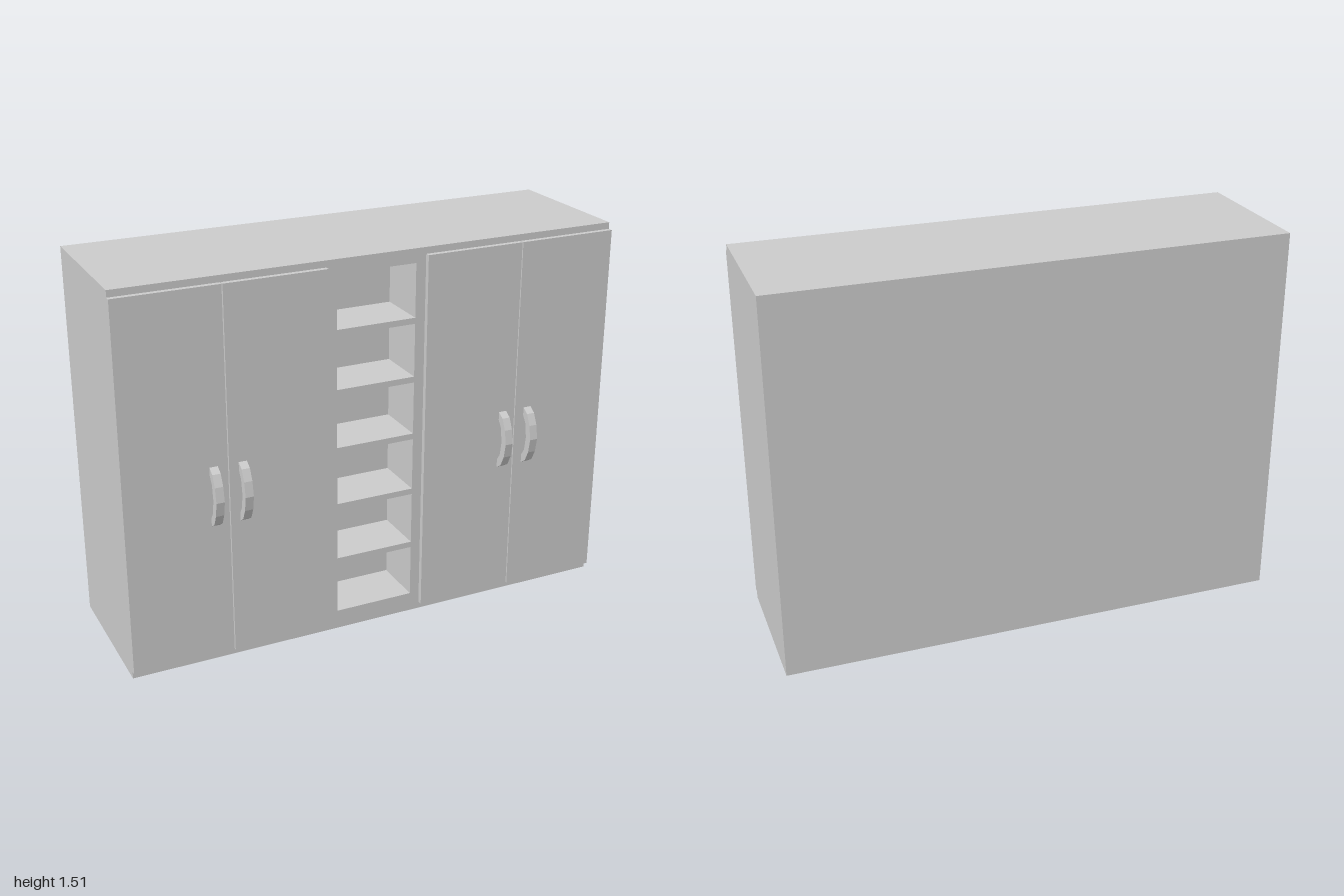
import * as THREE from 'three';

const material = new THREE.MeshStandardMaterial({ color: 0xcccccc, flatShading: true });
const HEIGHT = 1.51, BACK = -0.33, FRONT = 0.25, DOOR_FRONT = 0.27;

function addMesh(parent, name, geometry) {
  const mesh = new THREE.Mesh(geometry, material);
  mesh.name = name;
  parent.add(mesh);
  return mesh;
}

// Box given by its two opposite corners
function addBox(parent, name, [x0, y0, z0], [x1, y1, z1]) {
  const mesh = addMesh(parent, name, new THREE.BoxGeometry(x1 - x0, y1 - y0, z1 - z0));
  mesh.position.set((x0 + x1) / 2, (y0 + y1) / 2, (z0 + z1) / 2);
}

// Faceted bow handle: side profile (z, y about the middle) extruded across x
function handleGeometry() {
  const width = 0.032;
  const profile = [
    [0.268, -0.119], [0.298, -0.1], [0.319, -0.057], [0.33, 0], [0.319, 0.057], [0.298, 0.1], [0.268, 0.119],
    [0.268, 0.088], [0.289, 0.057], [0.298, 0], [0.289, -0.057], [0.268, -0.088],
  ].map(([z, y]) => new THREE.Vector2(z, y));
  return new THREE.ExtrudeGeometry(new THREE.Shape(profile), { depth: width, bevelEnabled: false })
    .translate(0, 0, -width / 2)
    .rotateY(-Math.PI / 2);
}

// Central column with six open compartments
function createShelfColumn() {
  const column = new THREE.Group();
  column.name = 'shelfColumn';
  const half = 0.2, openHalf = 0.16, depth = 0.21;
  const rect = (Type, x, y0, y1) => new Type([[-x, y0], [x, y0], [x, y1], [-x, y1]]
    .map(([px, py]) => new THREE.Vector2(px, py)));
  const face = rect(THREE.Shape, half, 0, HEIGHT);
  for (let i = 0; i < 6; i++) {
    const y = 0.077 + i * 0.2335;
    face.holes.push(rect(THREE.Path, openHalf, y, y + 0.21));
  }
  const frame = addMesh(column, 'shelfFrame',
    new THREE.ExtrudeGeometry(face, { depth, bevelEnabled: false }));
  frame.position.z = FRONT - depth;
  addBox(column, 'shelfBack', [-half, 0, BACK], [half, HEIGHT, FRONT - depth]);
  return column;
}

// Two-door cabinet on one side (s = 1 left, s = -1 right)
function createCabinet(s, handle) {
  const cabinet = new THREE.Group();
  cabinet.name = s > 0 ? 'leftCabinet' : 'rightCabinet';
  const span = (a, b) => (s > 0 ? [a, b] : [-b, -a]);
  const [c0, c1] = span(0.2, 1);
  addBox(cabinet, 'cabinetBody', [c0, 0, BACK], [c1, HEIGHT, FRONT]);
  for (const [name, a, b, hx] of [['inner', 0.2, 0.598, 0.545], ['outer', 0.602, 1, 0.657]]) {
    const [d0, d1] = span(a, b);
    addBox(cabinet, name + 'Door', [d0, 0.028, FRONT], [d1, 1.484, DOOR_FRONT]);
    addMesh(cabinet, name + 'Handle', handle).position.set(s * hx, 0.69, 0);
  }
  return cabinet;
}

export function createModel() {
  const model = new THREE.Group();
  model.name = 'wardrobe';
  const handle = handleGeometry();
  model.add(createShelfColumn(), createCabinet(1, handle), createCabinet(-1, handle));
  return model;
}
